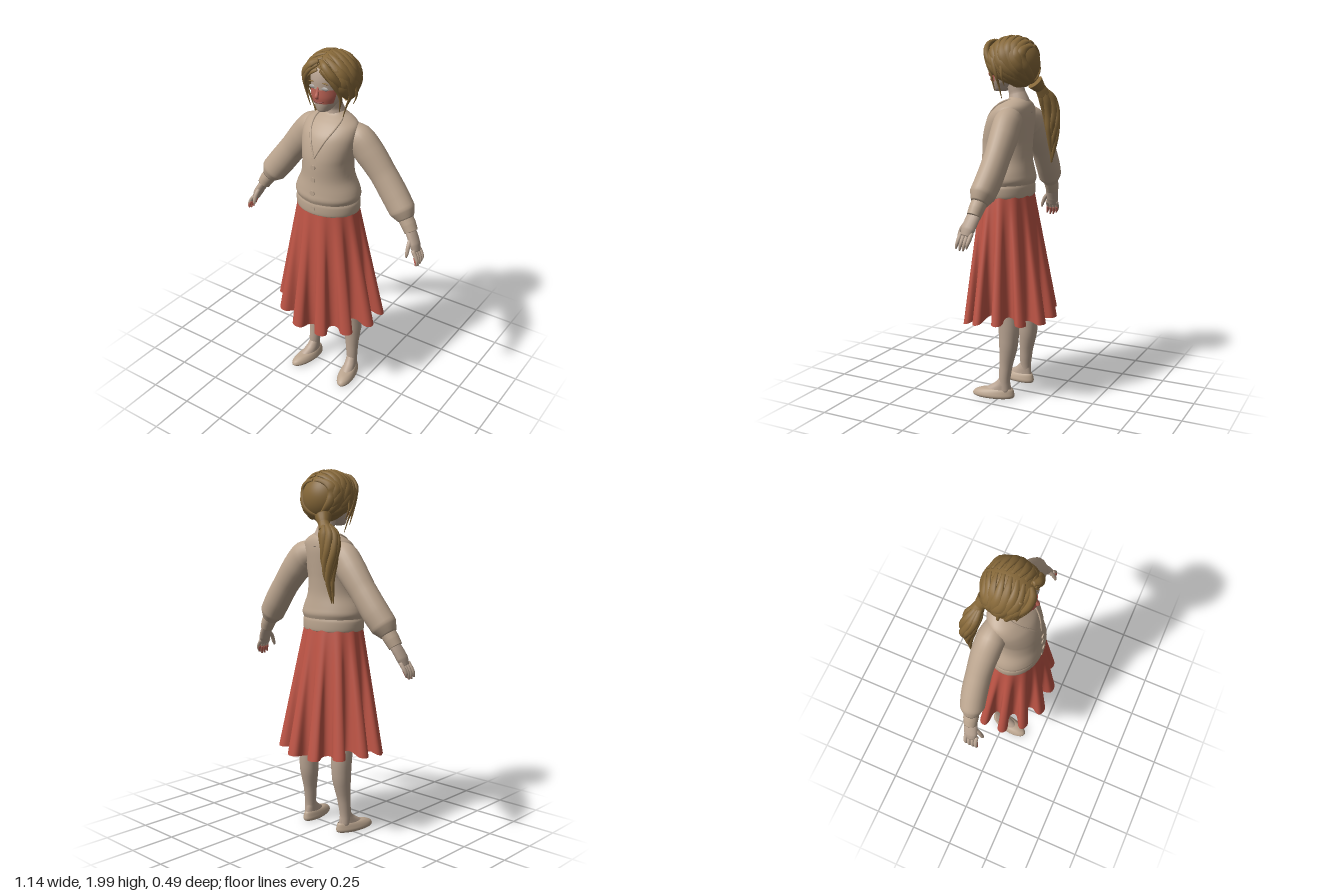
import * as THREE from 'three';

const V = (x, y, z) => new THREE.Vector3(x, y, z);
const mat = (name, color) => {
  const m = new THREE.MeshStandardMaterial({ color, side: THREE.DoubleSide });
  m.name = name;
  return m;
};

// Smooth surface from a rule fn(u, v); u runs around, v runs along
function grid(nu, nv, fn, closed = true) {
  const pos = [], idx = [], w = closed ? nu : nu + 1;
  for (let j = 0; j <= nv; j++)
    for (let i = 0; i < w; i++) pos.push(...fn(i / nu, j / nv).toArray());
  for (let j = 0; j < nv; j++)
    for (let i = 0; i < nu; i++) {
      const k = (i + 1) % w, a = j * w + i, b = j * w + k;
      idx.push(a, b, b + w, a, b + w, a + w);
    }
  const g = new THREE.BufferGeometry();
  g.setAttribute('position', new THREE.Float32BufferAttribute(pos, 3));
  g.setIndex(idx);
  g.computeVertexNormals();
  return g;
}

// Horizontal oval rings, rows of [y, halfWidth, zFront, zBack], bottom to top
function loft(rows, { a0 = 0, a1 = Math.PI * 2, grow = 0, nu = 40 } = {}) {
  const c1 = new THREE.CatmullRomCurve3(rows.map(r => V(r[1], r[0], 0)), false, 'centripetal');
  const c2 = new THREE.CatmullRomCurve3(rows.map(r => V(r[2], r[0], r[3])), false, 'centripetal');
  return grid(nu, rows.length * 4, (u, v) => {
    const a = a0 + (a1 - a0) * u, p = c1.getPoint(v), q = c2.getPoint(v);
    const rz = (q.x - q.z) / 2 + grow;
    return V((p.x + grow) * Math.sin(a), p.y, (q.x + q.z) / 2 + rz * Math.cos(a));
  }, a1 - a0 > 6.28);
}

// Tapered tube through [x, y, z, radius]; flat scales the radius along ref
function tube(pts, { nu = 16, nv = 24, flat = 1, ref = () => V(0, 0, 1) } = {}) {
  const path = new THREE.CatmullRomCurve3(pts.map(p => V(p[0], p[1], p[2])));
  const rad = i => {
    const k = Math.min(Math.floor(i), pts.length - 2);
    return THREE.MathUtils.lerp(pts[k][3], pts[k + 1][3], i - k);
  };
  return grid(nu, nv + 2, (u, v) => {
    const j = Math.round(v * (nv + 2)), t = Math.min(Math.max((j - 1) / nv, 0), 1);
    const r = j === 0 || j === nv + 2 ? 0.0005 : rad(t * (pts.length - 1));
    const c = path.getPoint(t), tan = path.getTangent(t), n = ref(c);
    n.addScaledVector(tan, -n.dot(tan)).normalize();
    const b = tan.clone().cross(n), a = u * Math.PI * 2;
    return c.addScaledVector(n, r * flat * Math.cos(a)).addScaledVector(b, r * Math.sin(a));
  });
}

export function createModel() {
  const model = new THREE.Group();
  model.name = 'woman';
  const skin = mat('skin', 0xb9a492), knit = mat('knit', 0xbba58f), red = mat('skirt red', 0xbf5546);
  const hair = mat('hair brown', 0x866839), blush = mat('blush', 0xba6254);
  const eye = mat('eye grey', 0xa5a09b), dark = mat('lip red', 0x8a3f38);
  const add = (name, geo, m) => {
    const mesh = new THREE.Mesh(geo, m);
    mesh.name = name;
    model.add(mesh);
    return mesh;
  };
  const ball = (name, m, p, s) => {
    const b = add(name, new THREE.SphereGeometry(1, 20, 14), m);
    b.position.set(...p);
    b.scale.set(...s);
    return b;
  };

  // Skirt: twelve rounded, overhanging folds that deepen towards the hem
  add('skirt', grid(288, 28, (u, v) => {
    const a = u * Math.PI * 2, d = 1 - v, c = Math.cos(a);
    const valley = 0.5 + 0.5 * Math.cos(12 * a);
    const hem = 0.47 - 0.05 * c * c - 0.02 * c + 0.03 * valley * (1 - c * c);
    const f = 1 - (0.03 + 0.31 * Math.pow(d, 1.2)) * valley;
    const b = a + 0.045 * d * Math.sin(24 * a);
    const rx = 0.18 + 0.154 * d, rz = 0.142 + 0.108 * d;
    return V(rx * f * Math.sin(b), hem + (1.15 - hem) * v, 0.022 * v + rz * f * Math.cos(b));
  }), red);

  // Cardigan body, ribbed hem, placket and neckline
  const front = [[1.2, 0.18, 0.166, -0.122], [1.225, 0.187, 0.174, -0.13], [1.26, 0.178, 0.17, -0.125],
    [1.33, 0.146, 0.162, -0.115], [1.41, 0.138, 0.16, -0.115], [1.46, 0.145, 0.154, -0.118]];
  add('cardigan', loft([...front, [1.52, 0.154, 0.137, -0.122], [1.57, 0.156, 0.113, -0.124],
    [1.61, 0.146, 0.075, -0.12], [1.637, 0.108, 0.04, -0.11], [1.655, 0.07, 0.012, -0.095],
    [1.667, 0.05, 0, -0.08], [1.669, 0.001, -0.04, -0.042]]), knit);
  add('ribbedHem', loft([[1.13, 0.175, 0.16, -0.116], [1.135, 0.182, 0.166, -0.121],
    [1.185, 0.184, 0.168, -0.123], [1.2, 0.178, 0.165, -0.12]]), knit);
  add('placket', loft(front, { a0: -0.12, a1: 0.12, grow: 0.003, nu: 6 }), knit);
  add('neckline', tube([[0, 1.46, 0.154, 0.005], [0.04, 1.545, 0.124, 0.005], [0.072, 1.61, 0.065, 0.005],
    [0.072, 1.648, 0, 0.006], [0, 1.66, -0.09, 0.006], [-0.072, 1.648, 0, 0.006],
    [-0.072, 1.61, 0.065, 0.005], [-0.04, 1.545, 0.124, 0.005], [0, 1.46, 0.154, 0.005]],
  { nu: 8, nv: 64, ref: () => V(0, 1, 0.3) }), knit);
  for (const [y, z] of [[1.41, 0.164], [1.34, 0.165], [1.265, 0.173], [1.17, 0.168]]) {
    const b = add('button', new THREE.CylinderGeometry(0.014, 0.014, 0.008, 16), knit);
    b.position.set(0, y, z);
    b.rotation.x = Math.PI / 2;
  }

  // Neck and head
  add('neck', tube([[0, 1.58, -0.05, 0.075], [0, 1.64, -0.045, 0.06], [0, 1.69, -0.035, 0.044],
    [0, 1.77, -0.01, 0.046]]), skin);
  const face = [[1.7, 0.032, 0.1, 0.02], [1.725, 0.052, 0.108, -0.02], [1.748, 0.067, 0.111, -0.05],
    [1.78, 0.079, 0.116, -0.075], [1.822, 0.086, 0.115, -0.095]];
  add('head', loft([[1.695, 0.004, 0.085, 0.06], ...face, [1.87, 0.092, 0.116, -0.11], [1.92, 0.085, 0.104, -0.11],
    [1.955, 0.06, 0.07, -0.08], [1.965, 0.002, 0, -0.004]]), skin);
  add('blushBand', loft(face.slice(2), { a0: -1.1, a1: 1.1, grow: 0.003, nu: 20 }), blush);
  add('nose', tube([[0, 1.835, 0.11, 0.006], [0, 1.805, 0.119, 0.009], [0, 1.787, 0.126, 0.011], [0, 1.776, 0.117, 0.007]],
    { nu: 12 }), blush);
  add('mouth', tube([[-0.038, 1.767, 0.1, 0.002], [-0.02, 1.757, 0.112, 0.004], [0, 1.753, 0.115, 0.005],
    [0.02, 1.757, 0.112, 0.004], [0.038, 1.767, 0.1, 0.002]], { nu: 8, ref: () => V(0, 1, 0) }), dark);

  // Hair cap with a raised front opening
  add('hairCap', grid(64, 24, (u, v) => {
    const a = u * Math.PI * 2, m = Math.min(a, Math.PI * 2 - a) / Math.PI;
    const lim = 0.95 + 1.7 * THREE.MathUtils.smoothstep(m, 0.02, 0.72);
    const p = lim * (1 - v) + 0.001, r = Math.sin(p);
    return V(0.135 * r * Math.sin(a), 1.845 + 0.143 * Math.cos(p), -0.014 + 0.144 * r * Math.cos(a));
  }), hair);
  const centre = V(0, 1.845, -0.015), outward = c => c.clone().sub(centre);

  for (const s of [1, -1]) {
    // Wavy strands swept from the parting round the sides to the nape
    for (let i = 0; i < 9; i++) {
      const k = i / 8, beta = 1.0 - 1.9 * k, pts = [];
      const curve = new THREE.QuadraticBezierCurve3(V(s * 0.07, Math.cos(beta), Math.sin(beta)),
        V(s * 1.5, 0.5 * k, 1.1 - 1.5 * k), V(s * 0.3 * (1 - k) - 0.2, -0.75, -0.75));
      for (let j = 0; j <= 10; j++) {
        const d = curve.getPoint(j / 10).normalize(), w = 1 + 0.02 * Math.sin(j * 1.3 + i * 2);
        pts.push([d.x * 0.136 * w, 1.845 + d.y * 0.144, -0.015 + d.z * 0.147 * w, 0.009 + 0.019 * Math.sin(Math.PI * j / 10)]);
      }
      add('hairStrand', tube(pts, { nu: 8, nv: 32, flat: 0.5, ref: outward }), hair);
    }
    // Locks framing the face
    for (const [name, pts] of [
      ['fringeLock', [[0.008, 1.965, 0.095, 0.012], [0.04, 1.948, 0.114, 0.02], [0.08, 1.905, 0.11, 0.022],
        [0.11, 1.85, 0.075, 0.016], [0.125, 1.79, 0.03, 0.005]]],
      ['frontLock', [[0.006, 1.95, 0.105, 0.01], [0.045, 1.925, 0.12, 0.017], [0.085, 1.87, 0.105, 0.018],
        [0.104, 1.79, 0.07, 0.01], [0.088, 1.7, 0.055, 0.002]]],
      ['sideLock', [[0.08, 1.93, 0.075, 0.015], [0.124, 1.86, 0.05, 0.019], [0.134, 1.79, 0.025, 0.012],
        [0.11, 1.73, 0.02, 0.006], [0.085, 1.66, 0.015, 0.002]]],
      ['outerWisp', [[0.125, 1.9, 0, 0.012], [0.142, 1.84, -0.01, 0.012], [0.146, 1.78, -0.015, 0.007],
        [0.125, 1.73, -0.02, 0.002]]]])
      add(name, tube(pts.map(([x, ...q]) => [s * x, ...q]), { nu: 8, flat: 0.7, ref: outward }), hair);
    ball('ear', skin, [s * 0.092, 1.795, -0.005], [0.012, 0.03, 0.02]);
    ball('eye', eye, [s * 0.036, 1.83, 0.107], [0.022, 0.01, 0.007]);
    ball('brow', hair, [s * 0.038, 1.858, 0.108], [0.022, 0.004, 0.005]).rotation.z = -s * 0.12;

    // Sleeve, cuff and hand
    add('sleeve', tube([[s * 0.02, 1.545, -0.04, 0.05], [s * 0.08, 1.548, -0.045, 0.068], [s * 0.145, 1.528, -0.05, 0.085],
      [s * 0.21, 1.46, -0.057, 0.084], [s * 0.287, 1.367, -0.06, 0.076], [s * 0.368, 1.262, -0.055, 0.077],
      [s * 0.42, 1.195, -0.046, 0.074], [s * 0.447, 1.155, -0.041, 0.048]], { nu: 24, nv: 42, flat: 0.88 }), knit);
    add('cuff', tube([[s * 0.44, 1.165, -0.042, 0.042], [s * 0.465, 1.13, -0.037, 0.041],
      [s * 0.487, 1.095, -0.032, 0.037]]), knit);
    add('palm', tube([[s * 0.475, 1.11, -0.035, 0.023], [s * 0.498, 1.075, -0.027, 0.024],
      [s * 0.52, 1.035, -0.018, 0.024], [s * 0.534, 1.0, -0.012, 0.018]], { flat: 1.6 }), skin);
    for (let i = 0; i < 4; i++) {
      const z = -0.042 + i * 0.02, l = [0.85, 1, 1, 0.9][i];
      add('finger', tube([[s * 0.528, 1.015, z, 0.011], [s * 0.55, 1.01 - 0.03 * l, z + 0.003, 0.011],
        [s * 0.56, 1.01 - 0.055 * l, z + 0.007, 0.009], [s * 0.56, 1.01 - 0.08 * l, z + 0.013, 0.004]], { nu: 10, nv: 10 }), skin);
      // Red inner side of the finger
      add('fingerPad', tube([[s * 0.545, 1.01 - 0.035 * l, z + 0.005, 0.008], [s * 0.555, 1.01 - 0.058 * l, z + 0.009, 0.0085],
        [s * 0.556, 1.01 - 0.08 * l, z + 0.014, 0.004]], { nu: 8, nv: 8 }), blush);
    }
    add('thumb', tube([[s * 0.5, 1.07, -0.005, 0.012], [s * 0.505, 1.035, 0.025, 0.012], [s * 0.507, 1.0, 0.04, 0.01],
      [s * 0.506, 0.98, 0.045, 0.005]], { nu: 8, ref: () => V(1, 0, 0) }), skin);

    // Leg and slip-on shoe
    add('leg', tube([[s * 0.138, 0.035, -0.03, 0.03], [s * 0.137, 0.1, -0.026, 0.031], [s * 0.131, 0.2, -0.033, 0.038],
      [s * 0.126, 0.31, -0.045, 0.053], [s * 0.125, 0.42, -0.046, 0.059], [s * 0.12, 0.55, -0.03, 0.064],
      [s * 0.105, 0.8, -0.01, 0.075]], { nu: 20 }), skin);
    const foot = new THREE.Group();
    foot.name = 'foot';
    foot.position.x = s * 0.14;
    foot.rotation.y = s * 0.2;
    foot.add(add('shoe', loft([[0.001, 0.002, 0.04, 0.036], [0.002, 0.042, 0.147, -0.074], [0.014, 0.05, 0.159, -0.082],
      [0.032, 0.046, 0.15, -0.08], [0.048, 0.038, 0.115, -0.076], [0.056, 0.03, 0.07, -0.07]]), knit));
    foot.add(add('instep', loft([[0.035, 0.037, 0.11, -0.065], [0.06, 0.033, 0.07, -0.062], [0.085, 0.03, 0.03, -0.058],
      [0.12, 0.026, 0, -0.05]]), skin));
    model.add(foot);
  }

  // Ponytail: tied at the nape, twisting down behind the right shoulder
  add('hairTie', tube([[-0.055, 1.745, -0.115, 0.045], [-0.08, 1.71, -0.135, 0.03], [-0.1, 1.68, -0.145, 0.036]]), hair);
  const tail = [[-0.08, 1.715, -0.135, 0.01, 0.014], [-0.13, 1.65, -0.153, 0.038, 0.022], [-0.155, 1.57, -0.168, 0.038, 0.022],
    [-0.155, 1.49, -0.175, 0.03, 0.02], [-0.157, 1.42, -0.177, 0.02, 0.015], [-0.165, 1.36, -0.172, 0.01, 0.01],
    [-0.17, 1.3, -0.165, 0.005, 0.002]];
  for (let i = 0; i < 7; i++)
    add('ponytailStrand', tube(tail.map(([x, y, z, spread, r], j) => {
      const a = i / 7 * Math.PI * 2 + j * 0.45;
      return [x + spread * Math.cos(a), y + 0.012 * j * (i % 3) / 2, z + 0.7 * spread * Math.sin(a), r];
    }), { nu: 8, nv: 30 }), hair);
  return model;
}
